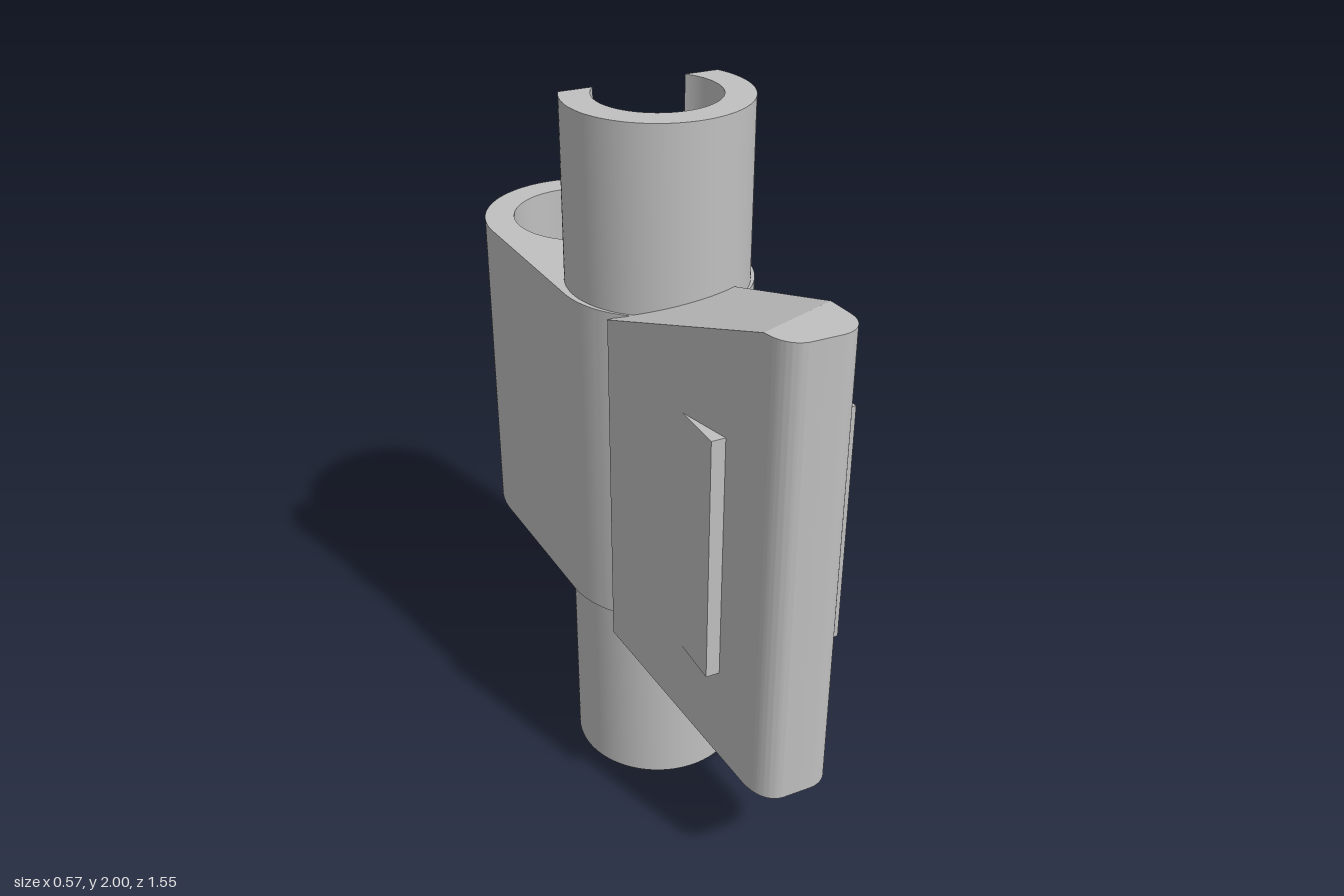
import * as THREE from 'three';
import { toCreasedNormals } from 'three/addons/utils/BufferGeometryUtils.js';

const BODY_LOW = 0.58, BODY_HIGH = 1.51, HOLE = 0.165;

// Plan outlines are drawn in (x, -z) and raised from y0 to y1.
function raise(shape, y0, y1) {
  const g = new THREE.ExtrudeGeometry(shape, { depth: y1 - y0, bevelEnabled: false, curveSegments: 40 });
  g.rotateX(-Math.PI / 2);
  g.translate(0, y0, 0);
  return g;
}

function plan(points) {
  return new THREE.Shape(points.map(([x, z]) => new THREE.Vector2(x, -z)));
}

function circleHole(z, r) {
  return new THREE.Path().absarc(0, -z, r, 0, Math.PI * 2, true);
}

export function createModel() {
  const group = new THREE.Group();
  const grey = new THREE.MeshStandardMaterial({ color: 0xc0c0c0 });
  grey.name = 'plain grey';

  const add = (name, geometry) => {
    const mesh = new THREE.Mesh(toCreasedNormals(geometry, 0.5), grey);
    mesh.name = name;
    group.add(mesh);
  };

  // Body: two bosses joined by tangent walls, with two through holes
  const backZ = -0.49, frontZ = -0.016, backR = 0.285, frontR = 0.262;
  const tilt = Math.asin((backR - frontR) / (frontZ - backZ));
  const body = new THREE.Shape();
  body.absarc(0, -backZ, backR, -tilt, Math.PI + tilt, false);
  body.absarc(0, -frontZ, frontR, Math.PI + tilt, Math.PI * 2 - tilt, false);
  body.closePath();
  body.holes.push(circleHole(backZ, 0.202), circleHole(0, HOLE));
  add('body', raise(body, BODY_LOW, BODY_HIGH));

  // Slotted tubes above and below the body, open at the back
  const outer = 0.244, cut = 0.105;
  const a = Math.asin(cut / outer), b = Math.asin(cut / HOLE);
  const tube = new THREE.Shape();
  tube.absarc(0, 0, outer, Math.PI - a, Math.PI * 2 + a, false);
  tube.absarc(0, 0, HOLE, Math.PI * 2 + b, Math.PI - b, true);
  tube.closePath();
  add('lowerTube', raise(tube, 0, BODY_LOW));
  add('upperTube', raise(tube, BODY_HIGH, 2));

  // Fin: rounded full-height nose
  const finLow = 0.34, finHigh = 1.67, mid = (finLow + finHigh) / 2;
  const creaseLeft = [0.142, 0.615], creaseRight = [-0.0746, 0.692];
  const nose = new THREE.Shape();
  nose.moveTo(creaseRight[0], -creaseRight[1]);
  nose.lineTo(-0.07, -0.71);
  nose.bezierCurveTo(-0.06, -0.75, -0.035, -0.775, 0, -0.775);
  nose.lineTo(0.075, -0.775);
  nose.bezierCurveTo(0.12, -0.775, 0.151, -0.74, 0.148, -0.69);
  nose.lineTo(creaseLeft[0], -creaseLeft[1]);
  nose.closePath();
  add('finNose', raise(nose, finLow, finHigh));

  // Fin root: ends slope inward toward the body
  const root = raise(plan([creaseRight, creaseLeft, [0.11, 0.19], [-0.212, 0.155]]), finLow, finHigh);
  const p = root.attributes.position;
  for (let i = 0; i < p.count; i++) {
    const reach = p.getZ(i) + 0.35 * (p.getX(i) - 0.13);
    const drop = 0.3 * Math.max(0, 0.62 - reach);
    p.setY(i, p.getY(i) + (p.getY(i) > mid ? -drop : drop));
  }
  add('finRoot', root);

  // Block passing through the fin and into the front boss
  const block = plan([[-0.14, 0.585], [0.255, 0.585], [0.255, 0.47], [0.17, 0.19], [-0.14, 0.19]]);
  add('sideBlock', raise(block, 0.65, 1.355));

  return group;
}
